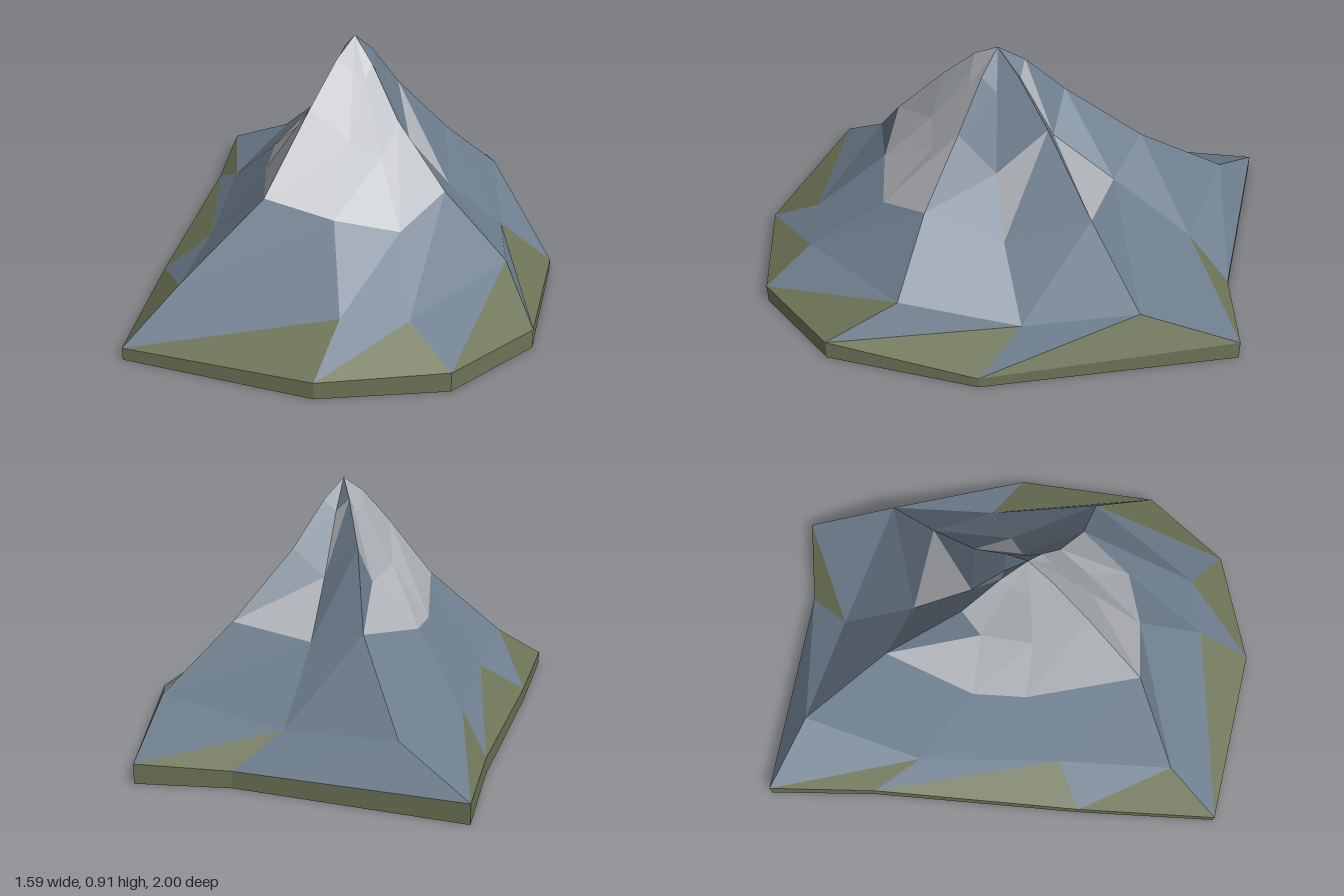
import * as THREE from 'three';

// Ten spokes, counterclockwise from above. Each runs from rim to upper slope as [x, y, z].
const spokes = [
  [[-0.80, 0.045, 0.67], [-0.60, 0.19, 0.53], [-0.30, 0.46, 0.46], [-0.12, 0.71, 0.29]], // front right ridge
  [[-0.20, 0.06, 0.98], [-0.09, 0.175, 0.80], [-0.07, 0.395, 0.53], [0.01, 0.60, 0.35]],
  [[0.24, 0.07, 1.00], [0.135, 0.165, 0.83], [0.155, 0.345, 0.55], [0.12, 0.54, 0.36]],
  [[0.57, 0.07, 0.79], [0.54, 0.195, 0.53], [0.34, 0.42, 0.41], [0.195, 0.64, 0.27]], // front left ridge
  [[0.79, 0.04, 0.28], [0.64, 0.12, 0.11], [0.42, 0.32, 0.14], [0.265, 0.51, 0.145]],
  [[0.78, 0.07, -0.64], [0.72, 0.195, -0.29], [0.475, 0.425, -0.16], [0.255, 0.67, -0.04]], // back left ridge
  [[0.45, 0.06, -0.69], [0.28, 0.16, -0.58], [0.19, 0.385, -0.30], [0.14, 0.57, -0.08]],
  [[-0.30, 0.07, -1.00], [-0.09, 0.20, -0.80], [0.01, 0.45, -0.44], [0.02, 0.69, -0.14]], // back right ridge
  [[-0.40, 0.06, -0.60], [-0.34, 0.16, -0.40], [-0.20, 0.39, -0.155], [-0.035, 0.55, -0.085]],
  [[-0.65, 0.05, 0.16], [-0.47, 0.16, 0.12], [-0.255, 0.38, 0.04], [-0.12, 0.58, 0.09]],
];
const peak = [0.065, 0.91, 0.11];

// Snow covers the upper front and right side, plus single patches elsewhere.
function isSnow(sector, band, upper) {
  if (band < 2) return false;
  if (sector >= 8 || sector <= 2) return true;
  if (sector === 7) return band > 2 || !upper;
  if (sector === 6) return band === 3 && upper;
  if (sector === 5) return band === 2 && !upper;
  if (sector === 4) return band === 2 && upper;
  return false;
}

function facetMesh(name, triangles, material) {
  const geometry = new THREE.BufferGeometry();
  geometry.setAttribute('position', new THREE.Float32BufferAttribute(triangles.flat(2), 3));
  geometry.computeVertexNormals();
  const mesh = new THREE.Mesh(geometry, material);
  mesh.name = name;
  return mesh;
}

export function createModel() {
  const make = (name, color) => {
    const material = new THREE.MeshStandardMaterial({ color });
    material.name = name;
    return material;
  };
  const grassMat = make('grass', 0x6d7456);
  const rockMat = make('rock', 0x6e7e8e);
  const snowMat = make('snow', 0xadb0b5);

  // Add a shoulder ring just below the summit
  const rays = spokes.map((ray) => {
    const shoulder = ray[3].map((v, k) => v + (peak[k] - v) * 0.6 + (k === 1 ? 0.02 : 0));
    return [...ray, shoulder];
  });

  const grass = [], rock = [], snow = [], base = [];
  const floor = ([x, , z]) => [x, 0, z];

  rays.forEach((a, i) => {
    const b = rays[(i + 1) % rays.length];

    // Slope bands, each quad split along the same diagonal
    for (let band = 0; band < 4; band++) {
      const foot = band === 0 && i !== 6 ? grass : rock;
      (isSnow(i, band, false) ? snow : foot).push([a[band], b[band], b[band + 1]]);
      (isSnow(i, band, true) ? snow : rock).push([a[band], b[band + 1], a[band + 1]]);
    }
    (isSnow(i, 4, false) ? snow : rock).push([a[4], b[4], peak]);

    // Rim wall and underside
    const fa = floor(a[0]), fb = floor(b[0]);
    base.push([fa, fb, b[0]], [fa, b[0], a[0]], [[0, 0, 0], fb, fa]);
  });

  const group = new THREE.Group();
  group.name = 'mountain';
  group.add(
    facetMesh('baseSlab', base, grassMat),
    facetMesh('grassyFoot', grass, grassMat),
    facetMesh('rockSlopes', rock, rockMat),
    facetMesh('snowCap', snow, snowMat),
  );
  return group;
}
